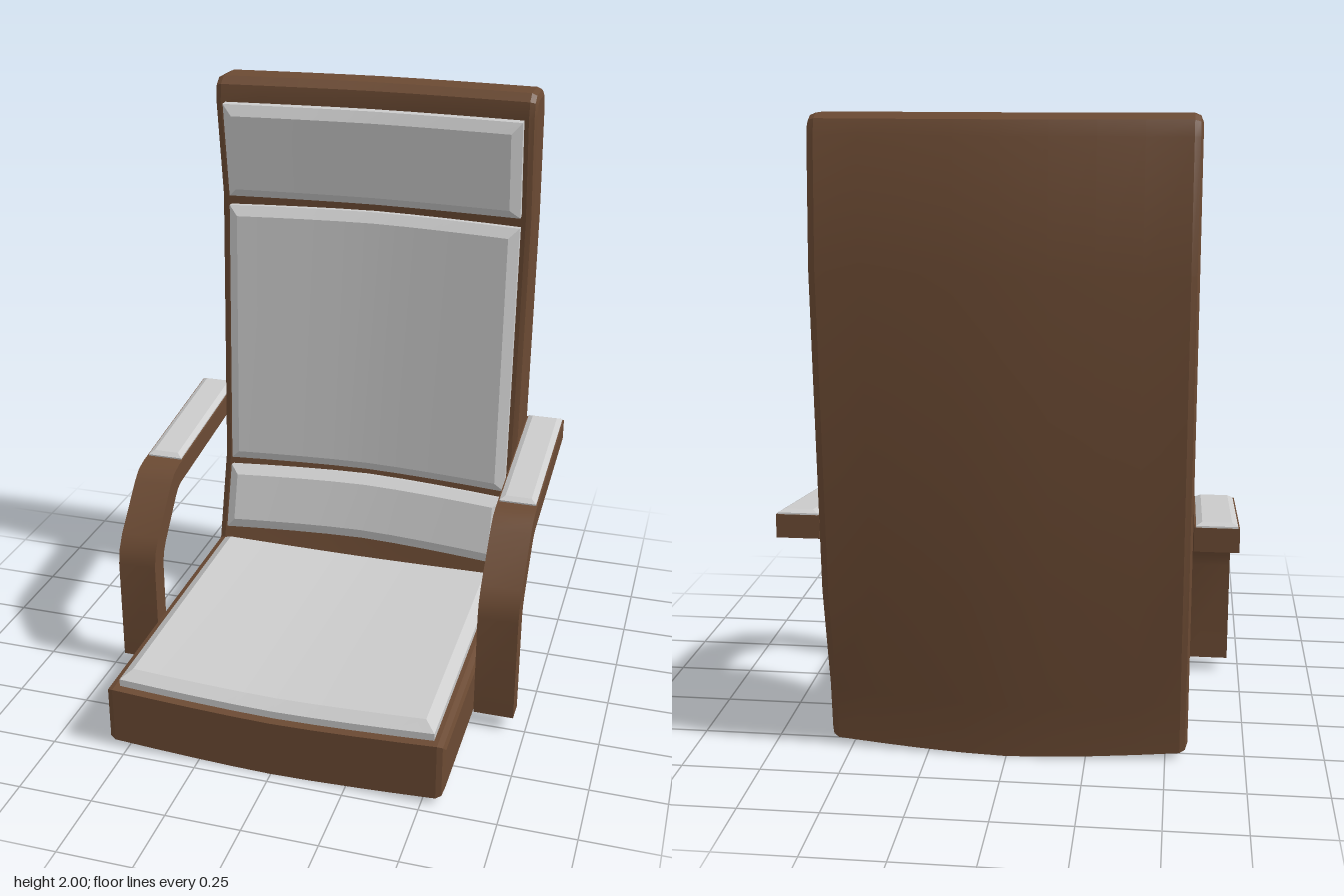
import * as THREE from 'three';
import { toCreasedNormals } from 'three/addons/utils/BufferGeometryUtils.js';

const HALF = 0.57;
const wood = new THREE.MeshStandardMaterial({ color: 0x6b4a33 });
const fabric = new THREE.MeshStandardMaterial({ color: 0xcccccc });
const clamp = THREE.MathUtils.clamp;

// Bow the middle of the chair: the back curves rearward, the seat sags.
function bow(geometry, lift = 0) {
  const p = geometry.attributes.position;
  for (let i = 0; i < p.count; i++) {
    const x = p.getX(i), y = p.getY(i), z = p.getZ(i);
    const c = 1 - Math.pow(Math.min(Math.abs(x) / HALF, 1), 1.5);
    const sag = lift ? -lift : 0.025 * clamp((0.5 - y) / 0.2, 0, 1);
    p.setY(i, y - sag * c);
    p.setZ(i, z - 0.033 * c * clamp(0.7 - z, 0, 1));
  }
  return geometry;
}

function finish(geometry, material, name, angle = 0.35) {
  const mesh = new THREE.Mesh(toCreasedNormals(geometry, angle), material);
  mesh.name = name;
  return mesh;
}

// Extrude a side profile, given as [z, y] points, across the width.
function sideExtrude(points, width, bevel, steps) {
  const shape = new THREE.Shape(points.map(([z, y]) => new THREE.Vector2(z, y)));
  return new THREE.ExtrudeGeometry(shape, {
    depth: width - 2 * bevel, steps, bevelEnabled: bevel > 0,
    bevelSize: bevel, bevelThickness: bevel, bevelOffset: -bevel, bevelSegments: 2,
  }).translate(0, 0, bevel - width / 2).rotateY(-Math.PI / 2);
}

// Chamfered pad lying on the line from [z, y] point a to b, facing its left.
function padGeometry(a, b, width, thickness, chamfer, segments) {
  const dz = b[0] - a[0], dy = b[1] - a[1], length = Math.hypot(dz, dy);
  const g = new THREE.BoxGeometry(width, thickness, length, segments, 2, 1);
  const p = g.attributes.position;
  for (let i = 0; i < p.count; i++) {
    if (p.getY(i) < thickness * 0.25) continue;
    p.setX(i, p.getX(i) * (1 - 2 * chamfer / width));
    p.setZ(i, p.getZ(i) * (1 - 2 * chamfer / length));
  }
  return g.translate(0, thickness / 2, 0)
    .rotateX(Math.atan2(-dy, dz))
    .translate(0, (a[1] + b[1]) / 2, (a[0] + b[0]) / 2);
}

export function createModel() {
  const chair = new THREE.Group();
  chair.name = 'armchair';

  // One-piece seat and backrest shell
  const shell = [
    [0.71, 0.025], [0.71, 0.22], [-0.36, 0.235], [-0.45, 0.55], [-0.50, 1.56],
    [-0.452, 1.92], [-0.46, 1.975], [-0.49, 2.0], [-0.60, 2.0], [-0.63, 1.985],
    [-0.645, 1.94], [-0.675, 1.55], [-0.63, 0.54], [-0.56, 0.2], [-0.545, 0.025],
  ].reverse();
  chair.add(finish(bow(sideExtrude(shell, 2 * HALF, 0.025, 8)), wood, 'seatAndBackFrame'));

  // Cushions: name, start, end, thickness, middle lift
  const cushions = [
    ['seatCushion', [-0.32, 0.228], [0.68, 0.218], 0.055, 0],
    ['headCushion', [-0.452, 1.915], [-0.497, 1.575], 0.048, 0],
    ['backCushion', [-0.495, 1.535], [-0.447, 0.548], 0.048, 0.008],
    ['lumbarCushion', [-0.44, 0.515], [-0.372, 0.28], 0.055, 0.015],
  ];
  for (const [name, a, b, thickness, lift] of cushions) {
    const g = padGeometry(a, b, 1.06, thickness, 0.035, 8);
    chair.add(finish(bow(g, lift), fabric, name));
  }

  // Bent arms with pads, one on each side
  const arm = [
    [0.255, 0.05], [0.255, 0.42], [0.245, 0.47], [0.215, 0.52], [0.08, 0.665],
    [0.045, 0.692], [0, 0.705], [-0.605, 0.785], [-0.605, 0.71], [-0.01, 0.632],
    [0.02, 0.62], [0.045, 0.595], [0.15, 0.475], [0.172, 0.44], [0.18, 0.40],
    [0.18, 0.05],
  ].reverse();
  for (const [side, label] of [[1, 'left'], [-1, 'right']]) {
    const group = new THREE.Group();
    group.name = label + 'Armrest';
    group.add(finish(sideExtrude(arm, 0.136, 0, 1), wood, label + 'ArmFrame', 0.5));
    const pad = padGeometry([-0.603, 0.78], [-0.035, 0.705], 0.125, 0.02, 0.018, 1);
    group.add(finish(pad, fabric, label + 'ArmPad'));
    group.position.x = side * 0.641;
    chair.add(group);
  }
  return chair;
}
